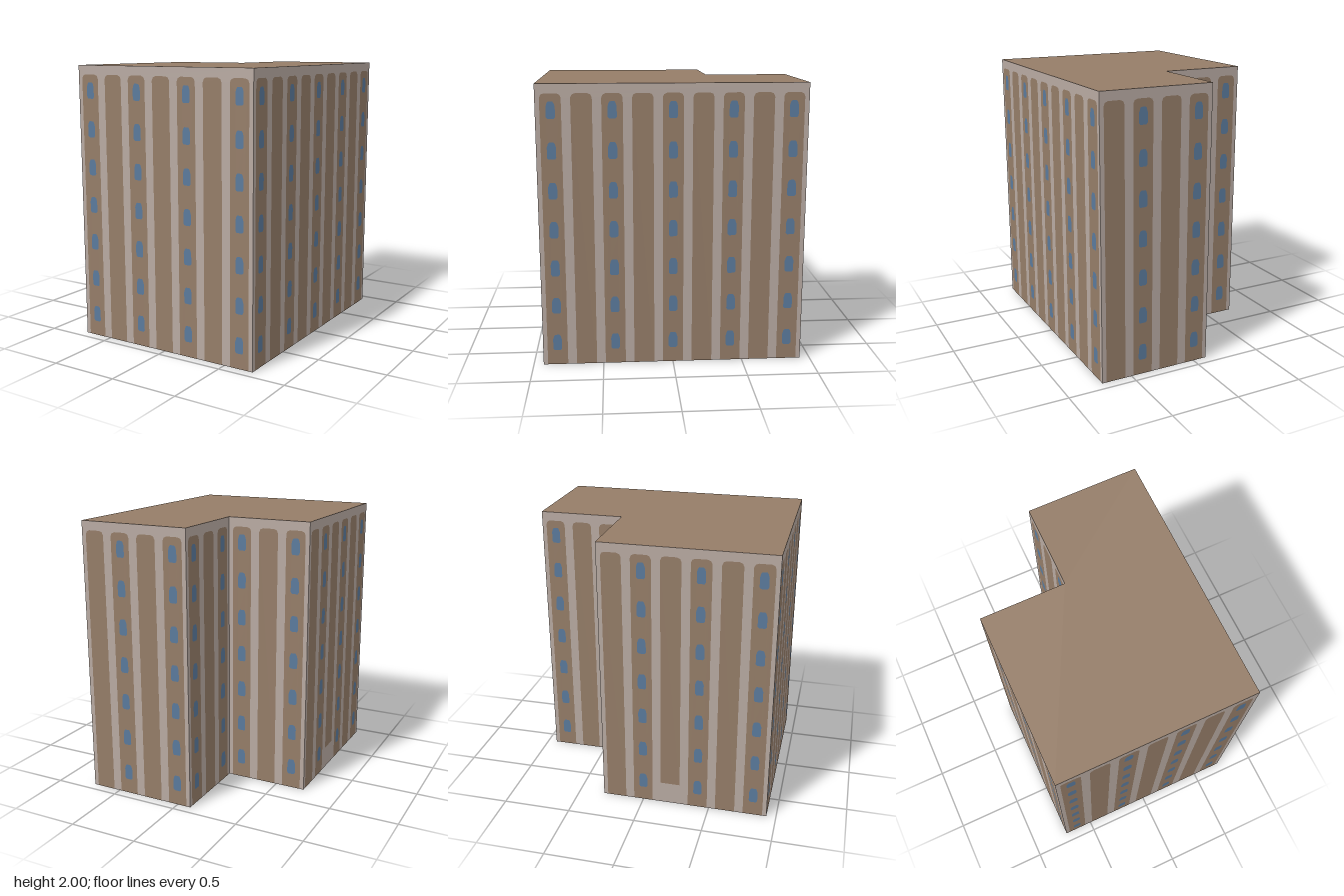
import * as THREE from 'three';

const BAY = 2 * 0.93 / 9;       // width of one pier bay
const HEIGHT = 2;
const PIER_W = 0.144, PIER_TOP = 1.935;
const WIN_W = 0.062, WIN_H = 0.116, FLOORS = 7, FLOOR_H = 0.276, FIRST = 0.166;
const DOOR_H = 0.165;

const material = (name, color) => {
  const m = new THREE.MeshStandardMaterial({ color, side: THREE.DoubleSide });
  m.name = name;
  return m;
};

// Window outline with rounded corners, narrower at the head
function windowPoints(cx, cy) {
  const w = WIN_W / 2, h = WIN_H / 2;
  return [[-0.7, -1], [0.7, -1], [1, -0.8], [1, 0.4], [0.75, 0.85], [0.5, 1],
    [-0.5, 1], [-0.75, 0.85], [-1, 0.4], [-1, -0.8]]
    .map(([x, y]) => new THREE.Vector2(cx + x * w, cy + y * h));
}

// Pier outline running up from y0, with rounded top corners
function pierPoints(cx, y0) {
  const w = PIER_W / 2, r = 0.03, k = r * 0.3;
  return [[-w, y0], [-w, PIER_TOP - r], [-w + k, PIER_TOP - k], [-w + r, PIER_TOP],
    [w - r, PIER_TOP], [w - k, PIER_TOP - k], [w, PIER_TOP - r], [w, y0]]
    .map(([x, y]) => new THREE.Vector2(cx + x, y));
}

export function createModel() {
  const model = new THREE.Group();
  model.name = 'building';
  const brown = material('brownBrick', 0x957d68);
  const pale = material('paleStone', 0xb8aaa2);
  const blue = material('blueGlass', 0x5a7a9c);

  const addFace = (parent, name, shapes, mat) => {
    const mesh = new THREE.Mesh(new THREE.ShapeGeometry(shapes), mat);
    mesh.name = name;
    parent.add(mesh);
    return mesh;
  };

  // One facade: pale wall, brown piers and windows fitted flush into each other
  function addWall(name, x, z, turn, bays, windowParity, doorBay = -1) {
    const wall = new THREE.Group();
    wall.name = name;
    wall.position.set(x, 0, z);
    wall.rotation.y = turn;

    const outline = [new THREE.Vector2(0, 0)];
    const piers = [], windows = [];
    for (let i = 0; i < bays; i++) {
      const cx = (i + 0.5) * BAY;
      outline.push(...pierPoints(cx, 0));
      const pier = new THREE.Shape(pierPoints(cx, i === doorBay ? DOOR_H : 0));
      if (i % 2 === windowParity) {
        for (let f = 0; f < FLOORS; f++) {
          const points = windowPoints(cx, FIRST + f * FLOOR_H);
          pier.holes.push(new THREE.Path(points));
          windows.push(new THREE.Shape(points));
        }
      }
      piers.push(pier);
    }
    outline.push(new THREE.Vector2(bays * BAY, 0),
      new THREE.Vector2(bays * BAY, HEIGHT), new THREE.Vector2(0, HEIGHT));

    addFace(wall, 'wallSurround', new THREE.Shape(outline), pale);
    addFace(wall, 'piers', piers, brown);
    addFace(wall, 'windows', windows, blue);

    // Plain door at the foot of its pier
    if (doorBay >= 0) {
      const door = new THREE.Mesh(new THREE.PlaneGeometry(PIER_W, DOOR_H), pale);
      door.name = 'door';
      door.position.set((doorBay + 0.5) * BAY, DOOR_H / 2, 0);
      wall.add(door);
    }
    model.add(wall);
  }

  const X = 3.5 * BAY, Z = 4.5 * BAY;         // half width and half depth
  const nx = X - 4 * BAY, nz = -Z + 3 * BAY;  // inner corner of the L
  const Q = Math.PI / 2;

  addWall('frontWall', -X, Z, 0, 7, 0);
  addWall('leftWall', X, Z, Q, 9, 0);
  addWall('backWall', X, -Z, 2 * Q, 4, 1);
  addWall('notchSideWall', nx, -Z, -Q, 3, 0);
  addWall('notchBackWall', nx, nz, 2 * Q, 3, 0);
  addWall('rightWall', -X, nz, -Q, 6, 1, 2);

  // Flat L-shaped roof
  const plan = [[-X, Z], [X, Z], [X, -Z], [nx, -Z], [nx, nz], [-X, nz]]
    .map(([x, z]) => new THREE.Vector2(x, -z));
  const roof = addFace(model, 'roof', new THREE.Shape(plan), brown);
  roof.rotation.x = -Q;
  roof.position.y = HEIGHT;

  return model;
}
